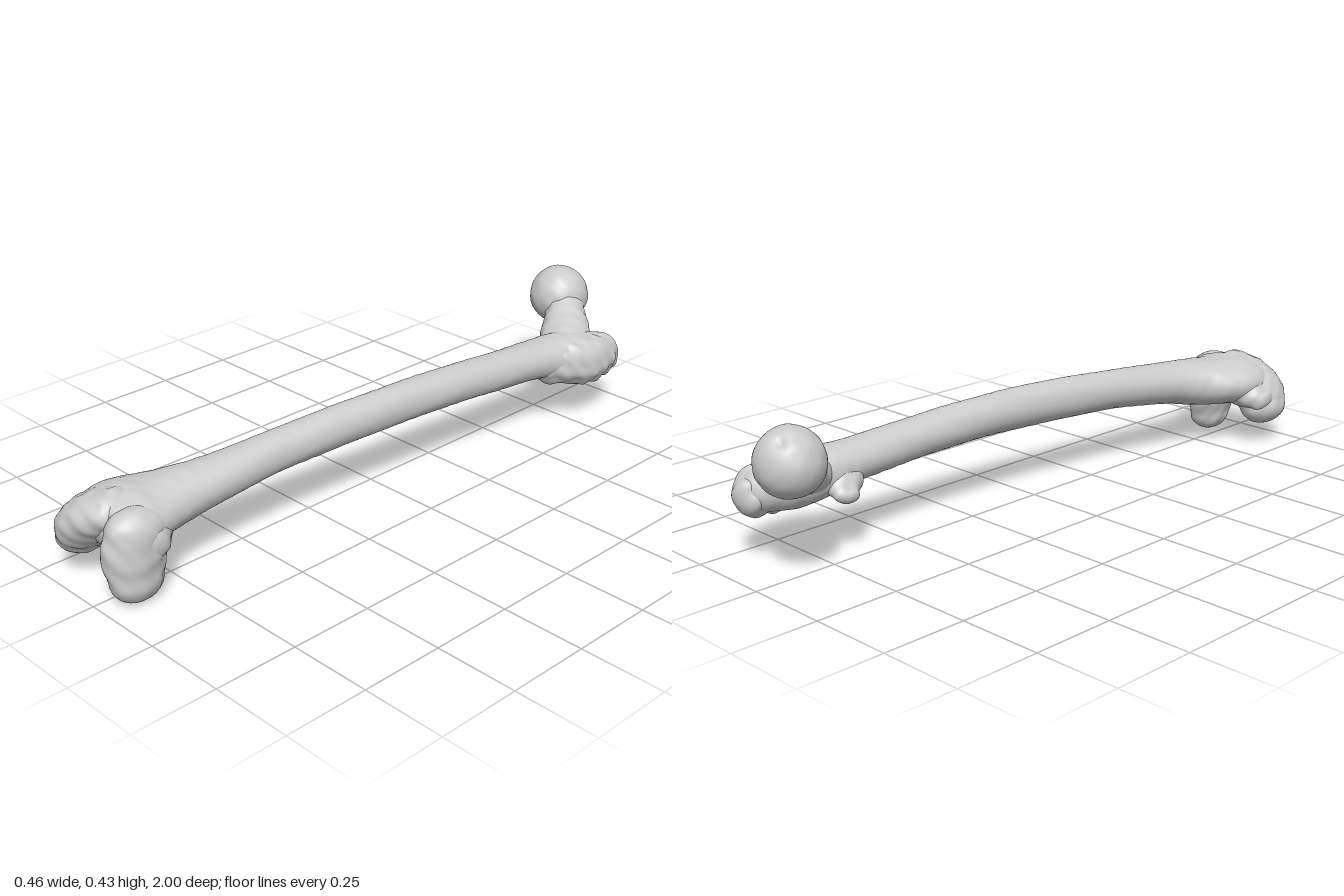
import * as THREE from 'three';

const bone = new THREE.MeshStandardMaterial({ color: 0xcccccc, roughness: 0.85 });
const X = new THREE.Vector3(1, 0, 0), Y = new THREE.Vector3(0, 1, 0), Z = new THREE.Vector3(0, 0, 1);

// Gentle uneven relief for the rough bone ends
const relief = (p) => Math.sin(p.x * 61 + p.y * 37) * Math.sin(p.y * 53 - p.z * 47) * Math.sin(p.z * 71 + p.x * 29);

// Smooth loft through stations [x, y, z, a, b]: b is the half-size along "up",
// a across it. Both ends close with a dome of the given depth.
function loft(name, stations, { up = Z, caps = [0.05, 0.05], steps = 24, sides = 40, rough = 0.004, shape = () => 1 }) {
  const centre = new THREE.CatmullRomCurve3(stations.map((s) => new THREE.Vector3(s[0], s[1], s[2])), false, 'catmullrom', 0.5);
  const size = new THREE.CatmullRomCurve3(stations.map((s) => new THREE.Vector3(s[3], s[4], 0)), false, 'catmullrom', 0.5);
  const rings = [];
  const dome = 8;
  for (let k = dome; k > 0; k--) rings.push({ t: 0, a: (k / dome) * Math.PI / 2, d: -caps[0] });
  for (let k = 0; k <= steps; k++) rings.push({ t: k / steps, a: 0, d: 0 });
  for (let k = 1; k <= dome; k++) rings.push({ t: 1, a: (k / dome) * Math.PI / 2, d: caps[1] });

  const positions = [], index = [];
  rings.forEach((r, i) => {
    const c = centre.getPoint(r.t), s = size.getPoint(r.t), T = centre.getTangent(r.t);
    const B = up.clone().addScaledVector(T, -up.dot(T)).normalize();
    const N = B.clone().cross(T);
    c.addScaledVector(T, r.d * Math.sin(r.a));
    const k = Math.max(Math.cos(r.a), 0.001);
    for (let j = 0; j < sides; j++) {
      const q = (j / sides) * Math.PI * 2, m = k * shape(q, r.t);
      const dir = N.clone().multiplyScalar(Math.cos(q) * s.x * m).addScaledVector(B, Math.sin(q) * s.y * m);
      const p = c.clone().add(dir);
      p.addScaledVector(dir.normalize(), rough * k * relief(p));
      positions.push(p.x, p.y, p.z);
      if (i < rings.length - 1) {
        const j2 = (j + 1) % sides, o = i * sides, n = o + sides;
        index.push(o + j, o + j2, n + j2, o + j, n + j2, n + j);
      }
    }
  });
  const g = new THREE.BufferGeometry();
  g.setAttribute('position', new THREE.Float32BufferAttribute(positions, 3));
  g.setIndex(index);
  g.computeVertexNormals();
  const mesh = new THREE.Mesh(g, bone);
  mesh.name = name;
  return mesh;
}

// Ball joint with a shallow pit on its crown
function ballHead() {
  const r = 0.094, g = new THREE.SphereGeometry(r, 48, 32);
  const pos = g.attributes.position, p = new THREE.Vector3();
  const pit = new THREE.Vector3(-0.35, 0.75, -0.55).normalize();
  for (let i = 0; i < pos.count; i++) {
    p.fromBufferAttribute(pos, i);
    const d = p.clone().normalize();
    const away = d.angleTo(pit);
    p.addScaledVector(d, -0.01 * Math.exp(-((away / 0.16) ** 2)) + 0.002 * relief(p));
    pos.setXYZ(i, p.x, p.y, p.z);
  }
  g.computeVertexNormals();
  const mesh = new THREE.Mesh(g, bone);
  mesh.name = 'ballHead';
  mesh.position.set(-0.044, 0.336, -0.908);
  return mesh;
}

export function createModel() {
  const group = new THREE.Group();
  group.name = 'thighBone';

  // Bowed shaft, flaring at both ends: [z, xMin, xMax, yMin, yMax]
  const outline = [
    [-0.86, 0.09, 0.21, 0.14, 0.27],
    [-0.78, 0.05, 0.215, 0.135, 0.29],
    [-0.7, 0.03, 0.185, 0.155, 0.295],
    [-0.6, 0.03, 0.165, 0.175, 0.295],
    [-0.4, 0.03, 0.15, 0.19, 0.307],
    [-0.2, 0.02, 0.135, 0.2, 0.318],
    [0, 0.01, 0.117, 0.2, 0.321],
    [0.2, -0.01, 0.098, 0.195, 0.316],
    [0.4, -0.033, 0.081, 0.185, 0.304],
    [0.6, -0.07, 0.075, 0.16, 0.29],
    [0.7, -0.11, 0.076, 0.14, 0.285],
    [0.78, -0.16, 0.09, 0.13, 0.278],
    [0.85, -0.185, 0.1, 0.125, 0.28],
    [0.91, -0.16, 0.09, 0.13, 0.27],
  ];
  const stations = outline.map(([z, x0, x1, y0, y1]) => [(x0 + x1) / 2, (y0 + y1) / 2, z, (x1 - x0) / 2, (y1 - y0) / 2]);
  group.add(loft('shaft', stations, {
    up: Y, steps: 110, sides: 56, caps: [0.06, 0.04], rough: 0.0015,
    // long raised ridge down the underside
    shape: (q, t) => 1 + 0.09 * Math.sin(Math.PI * t) * Math.exp(-(((q - Math.PI * 1.5) / 0.22) ** 2)),
  }));

  // Upper end
  group.add(ballHead());
  group.add(loft('neck', [
    [-0.04, 0.333, -0.905, 0.07, 0.07],
    [0.015, 0.3, -0.868, 0.064, 0.06],
    [0.065, 0.262, -0.815, 0.08, 0.058],
    [0.125, 0.22, -0.735, 0.085, 0.066],
  ], { up: Y, caps: [0.03, 0.07] }));
  group.add(loft('greaterTrochanter', [
    [0.125, 0.215, -0.66, 0.045, 0.06],
    [0.16, 0.205, -0.76, 0.062, 0.075],
    [0.167, 0.202, -0.84, 0.06, 0.074],
    [0.16, 0.188, -0.895, 0.05, 0.056],
  ], { up: Y, caps: [0.05, 0.042], rough: 0.008 }));
  group.add(loft('lesserTrochanter', [
    [0.09, 0.225, -0.66, 0.055, 0.085],
    [0.05, 0.195, -0.675, 0.04, 0.06],
    [0.02, 0.175, -0.685, 0.026, 0.038],
  ], { caps: [0.02, 0.024] }));

  // Lower end: two knuckles with a groove above and a notch between them
  group.add(loft('lateralCondyle', [
    [0.045, 0.205, 0.88, 0.062, 0.088],
    [0.042, 0.14, 0.89, 0.068, 0.094],
    [0.05, 0.065, 0.893, 0.056, 0.08],
  ], { caps: [0.06, 0.064] }));
  group.add(loft('medialCondyle', [
    [-0.035, 0.228, 0.875, 0.058, 0.085],
    [-0.09, 0.202, 0.893, 0.068, 0.098],
    [-0.14, 0.16, 0.899, 0.07, 0.099],
    [-0.17, 0.118, 0.895, 0.059, 0.084],
  ], { caps: [0.045, 0.05] }));

  // Low side knobs above the knuckles
  group.add(loft('lateralEpicondyle', [
    [0.05, 0.17, 0.85, 0.07, 0.07],
    [0.09, 0.165, 0.86, 0.045, 0.045],
  ], { up: Z, caps: [0.02, 0.022] }));
  group.add(loft('medialEpicondyle', [
    [-0.13, 0.18, 0.85, 0.06, 0.075],
    [-0.185, 0.15, 0.86, 0.04, 0.05],
  ], { up: Z, caps: [0.02, 0.028] }));

  return group;
}
